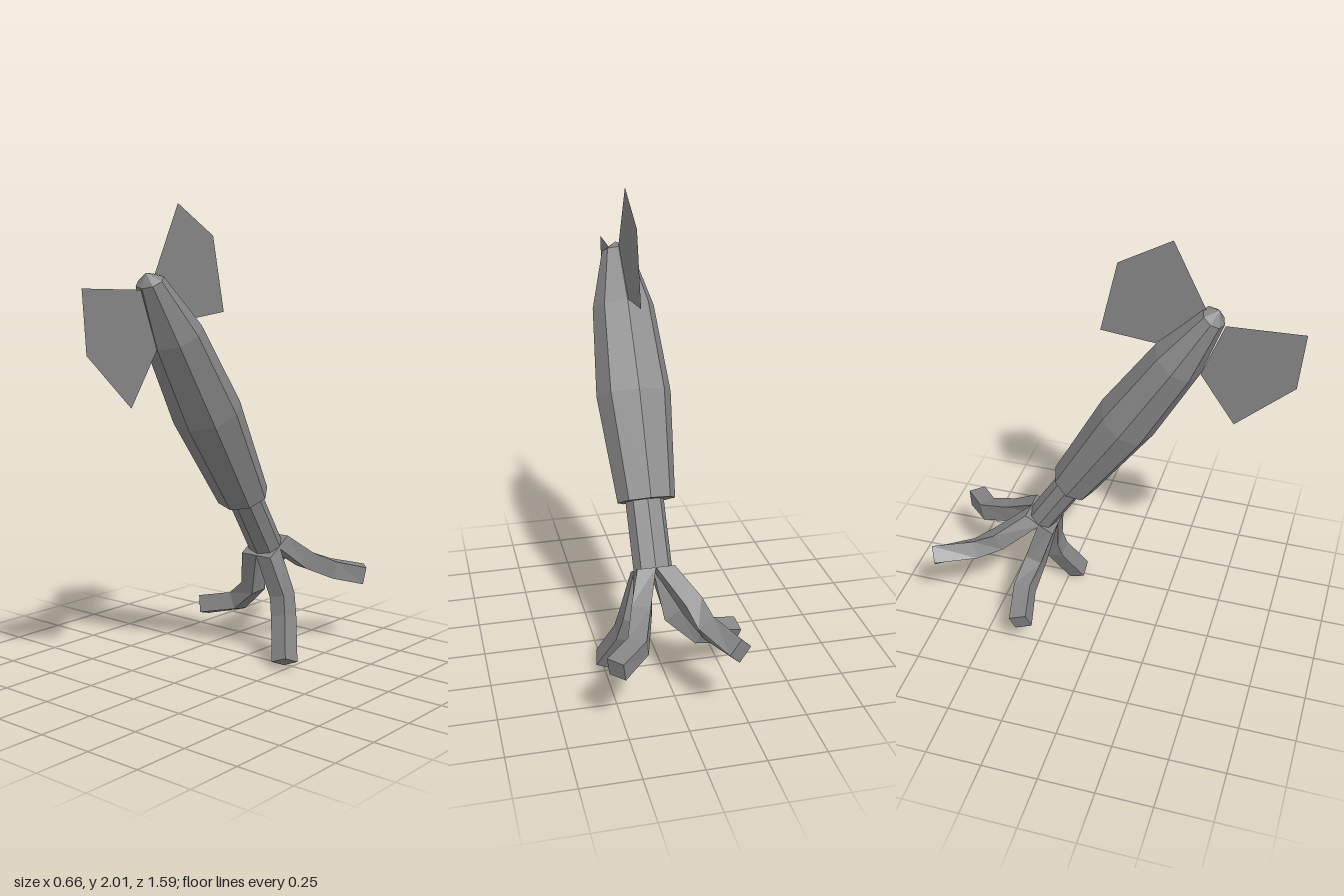
import * as THREE from 'three';

const material = new THREE.MeshStandardMaterial({ color: 0x868686, flatShading: true });
const finMaterial = new THREE.MeshStandardMaterial({ color: 0x868686, flatShading: true, side: THREE.DoubleSide });

const LEAN = 0.559;
const bodyAxis = new THREE.Vector3(0, -Math.cos(LEAN), -Math.sin(LEAN));

function addMesh(parent, name, geometry, mat = material) {
  const mesh = new THREE.Mesh(geometry, mat);
  mesh.name = name;
  parent.add(mesh);
  return mesh;
}

// Eight-sided body of revolution, slightly flattened front to back
function octagonBody(profile) {
  const points = profile.map(([r, y]) => new THREE.Vector2(r, y));
  return new THREE.LatheGeometry(points, 8).scale(1, 1, 0.81);
}

// Square arm along a path: starts square to the body, rolls gradually, closed at both ends
function squareArm(path, reference, roll) {
  const points = path.map(p => new THREE.Vector3(...p));
  const ref = new THREE.Vector3(...reference);
  const last = points.length - 1;
  const h = 0.04;
  const positions = [];
  const index = [];
  points.forEach((p, i) => {
    const before = i ? p.clone().sub(points[i - 1]).normalize() : bodyAxis;
    const after = i && i < last ? points[i + 1].clone().sub(p).normalize() : before;
    const tangent = before.clone().add(after).normalize();
    const side = tangent.clone().cross(ref).normalize().applyAxisAngle(tangent, roll * i / last);
    const up = side.clone().cross(tangent);
    for (const [a, b] of [[-h, -h], [h, -h], [h, h], [-h, h]]) {
      const corner = p.clone().addScaledVector(side, a).addScaledVector(up, b);
      positions.push(corner.x, corner.y, corner.z);
    }
  });
  // side x up points backwards along the path, which sets the winding
  for (let i = 0; i < last; i++) {
    for (let j = 0; j < 4; j++) {
      const a = i * 4 + j, b = i * 4 + (j + 1) % 4;
      index.push(a, a + 4, b, b, a + 4, b + 4);
    }
  }
  const e = last * 4;
  index.push(0, 1, 2, 0, 2, 3, e, e + 2, e + 1, e, e + 3, e + 2);
  const geometry = new THREE.BufferGeometry();
  geometry.setAttribute('position', new THREE.Float32BufferAttribute(positions, 3));
  geometry.setIndex(index);
  geometry.computeVertexNormals();
  return geometry;
}

// Flat fin near the middle plane, outlined by [z, y] points and turned very slightly
function finGeometry(outline) {
  const shape = new THREE.Shape(outline.map(([z, y]) => new THREE.Vector2(z, y)));
  return new THREE.ShapeGeometry(shape).rotateY(-Math.PI / 2 + 0.01).translate(0.037, 0, 0);
}

export function createModel() {
  const model = new THREE.Group();
  model.name = 'squid';

  // Leaning body: mantle and head share one axis
  const body = new THREE.Group();
  body.name = 'body';
  body.position.set(0.043, 0.755, -0.155);
  body.rotation.x = LEAN;
  model.add(body);
  addMesh(body, 'mantle', octagonBody([
    [0, 0], [0.125, 0], [0.163, 0.46], [0.135, 0.85], [0.065, 1.105], [0, 1.145],
  ]));
  addMesh(body, 'head', octagonBody([
    [0, -0.29], [0.083, -0.29], [0.083, 0.02],
  ])).position.x = 0.008;

  // Fins near the pointed end
  addMesh(model, 'backFin', finGeometry([
    [0.4, 1.72], [0.26, 2], [0.04, 1.875], [-0.03, 1.56], [0.2, 1.535],
  ]), finMaterial);
  addMesh(model, 'frontFin', finGeometry([
    [0.48, 1.66], [0.8, 1.67], [0.78, 1.42], [0.54, 1.2], [0.39, 1.42],
  ]), finMaterial);

  // Four bent arms, one from each quarter of the head's end: reference, roll, path
  const arms = {
    frontLeftArm: [[0, 0, 1], 0,
      [[0.091, 0.49, -0.275], [0.15, 0.29, -0.307], [0.172, 0.2, -0.29], [0.243, 0.025, -0.205]]],
    frontRightArm: [[0, 0, 1], 0.25,
      [[0.011, 0.49, -0.275], [-0.03, 0.3, -0.325], [-0.14, 0.205, -0.348], [-0.315, 0.162, -0.31]]],
    backLeftArm: [[0, 1, 0], 0,
      [[0.091, 0.528, -0.335], [0.14, 0.42, -0.49], [0.187, 0.355, -0.64], [0.297, 0.327, -0.74]]],
    backRightArm: [[0, 1, 0], Math.PI / 4,
      [[0.011, 0.528, -0.335], [-0.075, 0.42, -0.49], [-0.115, 0.37, -0.59], [-0.2, 0.356, -0.766]]],
  };
  for (const [name, [reference, roll, path]] of Object.entries(arms)) {
    addMesh(model, name, squareArm(path, reference, roll));
  }
  return model;
}
